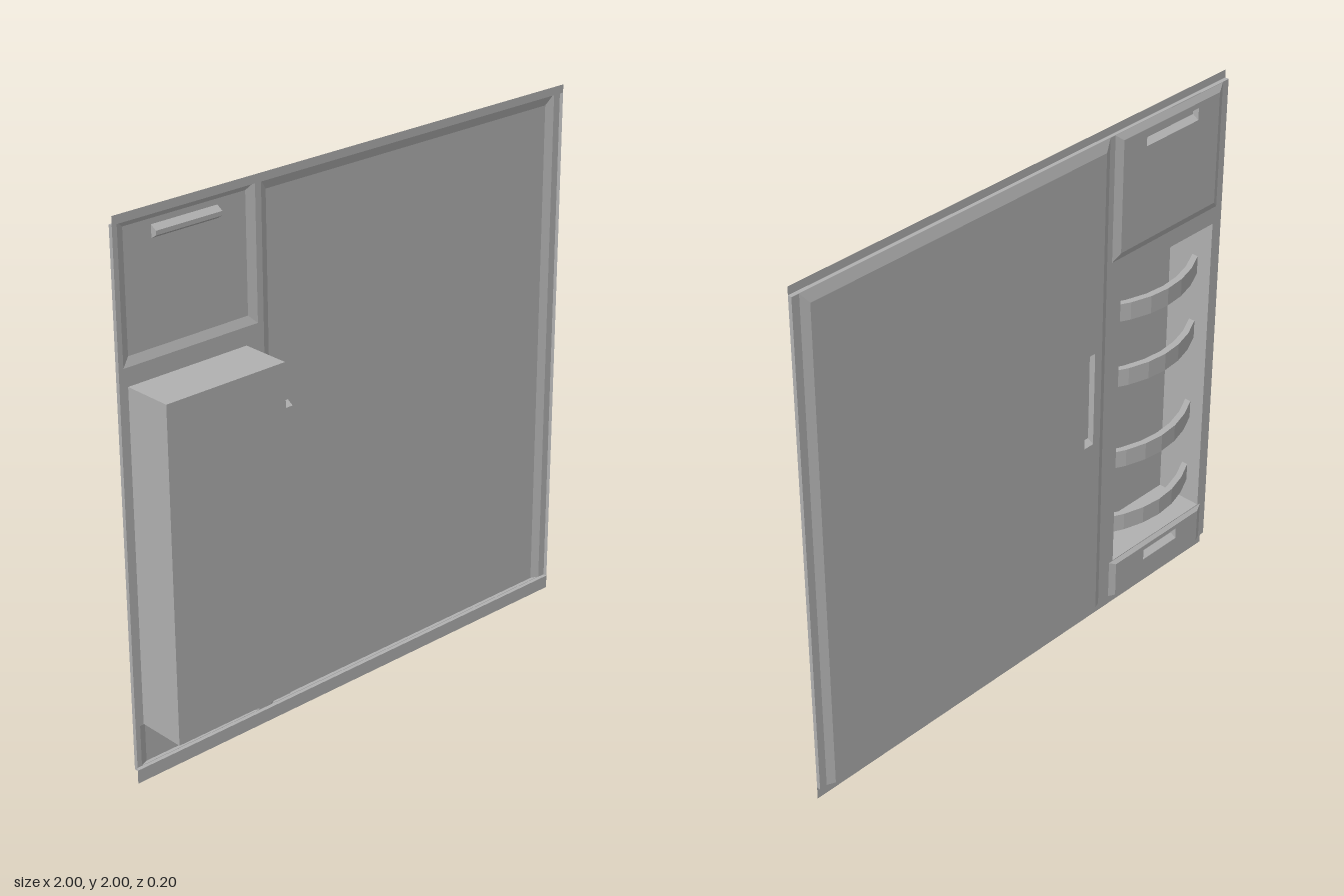
import * as THREE from 'three';

const Z_RIM = -0.072, Z_BASE = -0.087, Z_PANEL = -0.1, Z_BOX = 0.1;

// Rectangles are [x0, y0, x1, y1]
const corners = ([x0, y0, x1, y1]) => [[x0, y0], [x1, y0], [x1, y1], [x0, y1]];

function plate(rect, z, holes = []) {
  const shape = new THREE.Shape(corners(rect).map((p) => new THREE.Vector2(...p)));
  for (const h of holes) {
    shape.holes.push(new THREE.Path(corners(h).reverse().map((p) => new THREE.Vector2(...p))));
  }
  return new THREE.ShapeGeometry(shape).translate(0, 0, z);
}

// Four walls joining one rectangle to another at a different depth
function walls(a, za, b, zb) {
  const pa = corners(a), pb = corners(b), pos = [];
  for (let i = 0; i < 4; i++) {
    const j = (i + 1) % 4;
    const p = [...pa[i], za], q = [...pa[j], za], r = [...pb[j], zb], s = [...pb[i], zb];
    pos.push(...p, ...q, ...r, ...p, ...r, ...s);
  }
  const g = new THREE.BufferGeometry();
  g.setAttribute('position', new THREE.Float32BufferAttribute(pos, 3));
  g.computeVertexNormals();
  return g;
}

export function createModel() {
  const model = new THREE.Group();
  model.name = 'doorPanel';
  const grey = new THREE.MeshStandardMaterial({ color: 0xb0b0b0, side: THREE.DoubleSide });
  grey.name = 'plainGrey';

  const add = (name, ...geometries) => {
    const group = new THREE.Group();
    group.name = name;
    for (const g of geometries) {
      const mesh = new THREE.Mesh(g, grey);
      mesh.name = name + 'Surface';
      group.add(mesh);
    }
    model.add(group);
  };

  // Pressed panels, each with a finger pocket
  const panels = [
    { name: 'upperPanel', outer: [-0.97, 1.49, -0.42, 1.969], inner: [-0.94, 1.52, -0.45, 1.945],
      pocket: [-0.83, 1.88, -0.565, 1.925], floor: [-0.83, 1.895, -0.565, 1.91] },
    { name: 'mainPanel', outer: [-0.395, 0.051, 0.97, 1.969], inner: [-0.365, 0.051, 0.94, 1.93],
      pocket: [-0.33, 0.8, -0.285, 1.175], floor: [-0.33, 0.815, -0.285, 1.16] },
    { name: 'lowerPanel', outer: [-0.97, 0.051, -0.45, 0.204], inner: [-0.94, 0.051, -0.475, 0.192],
      pocket: [-0.815, 0.13, -0.63, 0.175], floor: [-0.815, 0.145, -0.63, 0.175] },
  ];
  for (const { name, outer, inner, pocket, floor } of panels) {
    add(name, walls(outer, Z_BASE, inner, Z_PANEL), plate(inner, Z_PANEL, [pocket]));
    add(name + 'Pocket', walls(pocket, Z_PANEL, floor, Z_RIM - 0.004), plate(floor, Z_RIM - 0.004));
  }

  // Flat sheet between the panels, with its edge and the top and bottom flanges
  const sheet = [-1, 0.05, 1, 1.97];
  const opening = [-0.955, 0.207, -0.47, 1.425];
  add('sheet', plate(sheet, Z_BASE, [...panels.map((p) => p.outer), opening]));
  add('sheetEdge', walls(sheet, Z_RIM, sheet, Z_BASE));
  add('topFlange', plate([-1, 1.97, 1, 2], Z_RIM));
  add('bottomFlange', plate([-1, 0, 1, 0.05], Z_RIM));

  // Storage box, open at the back
  add('storageBox', walls(opening, Z_BASE, opening, Z_BOX), plate(opening, Z_BOX));

  // Bowed retaining bars across the box opening
  const [x0, , x1] = opening, n = 6, thick = 0.025, height = 0.07;
  const bow = (i) => [x0 + (x1 - x0) * i / n, 0.028 + 0.07 * (1 - (2 * i / n - 1) ** 2)];
  const outline = [];
  for (let i = 0; i <= n; i++) outline.push(new THREE.Vector2(...bow(i)));
  for (let i = n; i >= 0; i--) {
    const [x, d] = bow(i);
    outline.push(new THREE.Vector2(x, d - thick));
  }
  for (const top of [1.27, 1.0, 0.65, 0.365]) {
    const bar = new THREE.ExtrudeGeometry(new THREE.Shape(outline), { depth: height, bevelEnabled: false });
    bar.rotateX(-Math.PI / 2).translate(0, top - height, 0);
    add('retainingBar', bar);
  }

  return model;
}
